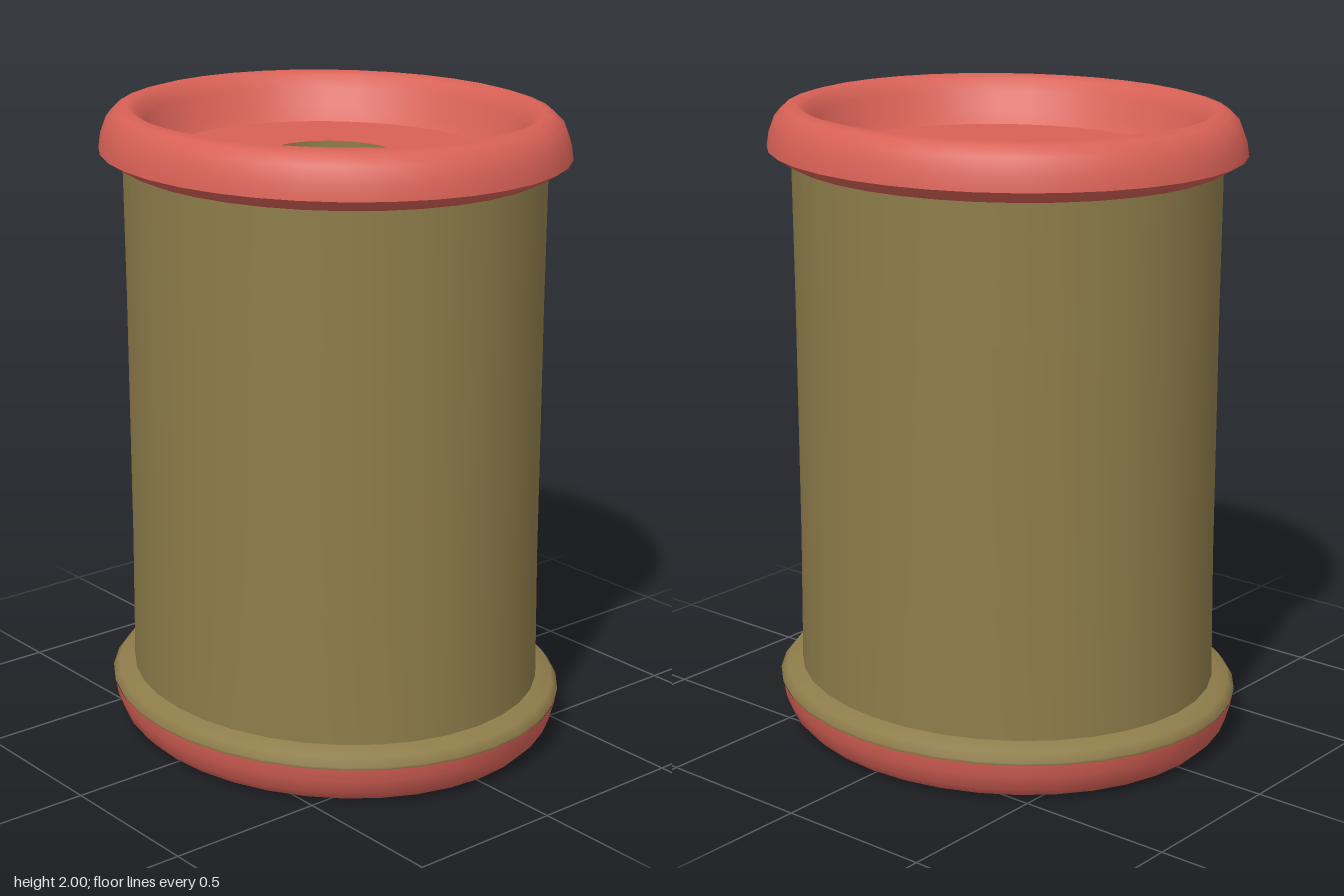
import * as THREE from 'three';

const SIDES = 36;
const DEPTH = 0.908; // the spool is slightly oval: z is narrower than x

const red = new THREE.MeshStandardMaterial({ color: 0xd86156 });
red.name = 'coral red';
const olive = new THREE.MeshStandardMaterial({ color: 0x8e7c4a });
olive.name = 'olive thread';

// Turned surface; the profile [radius, y] runs up the outside, inward over the top, down the inside
function turned(name, profile, material) {
  const points = profile.map(([r, y]) => new THREE.Vector2(r, y));
  const mesh = new THREE.Mesh(new THREE.LatheGeometry(points, SIDES), material);
  mesh.name = name;
  mesh.scale.z = DEPTH;
  return mesh;
}

export function createModel() {
  const spool = new THREE.Group();
  spool.name = 'threadSpool';

  // Wound body and the hole through its core
  spool.add(turned('threadBody', [[0.69, 0.17], [0.685, 0.6], [0.685, 1.4], [0.688, 1.84]], olive));
  spool.add(turned('coreHole', [[0.213, 1.85], [0.213, 0.15]], olive));

  // Top flange: sloped underside, rounded rim and recessed floor
  spool.add(turned('topRimUnderside', [[0.685, 1.822], [0.71, 1.832], [0.765, 1.865]], red));
  spool.add(turned('topRim', [
    [0.765, 1.865], [0.758, 1.91], [0.738, 1.96], [0.705, 1.99], [0.67, 2],
    [0.64, 1.985], [0.612, 1.95], [0.585, 1.89], [0.55, 1.85],
  ], red));
  spool.add(turned('topFloor', [[0.55, 1.85], [0.213, 1.85]], red));

  // Bottom flange: olive upper lip, red rounded rim and olive recessed floor
  spool.add(turned('bottomLip', [[0.758, 0.125], [0.765, 0.14], [0.745, 0.165], [0.685, 0.182]], olive));
  spool.add(turned('bottomRim', [
    [0.55, 0.15], [0.585, 0.11], [0.612, 0.05], [0.64, 0.015], [0.67, 0],
    [0.705, 0.01], [0.735, 0.04], [0.755, 0.09], [0.762, 0.13],
  ], red));
  spool.add(turned('bottomFloor', [[0.213, 0.15], [0.55, 0.15]], olive));

  return spool;
}
